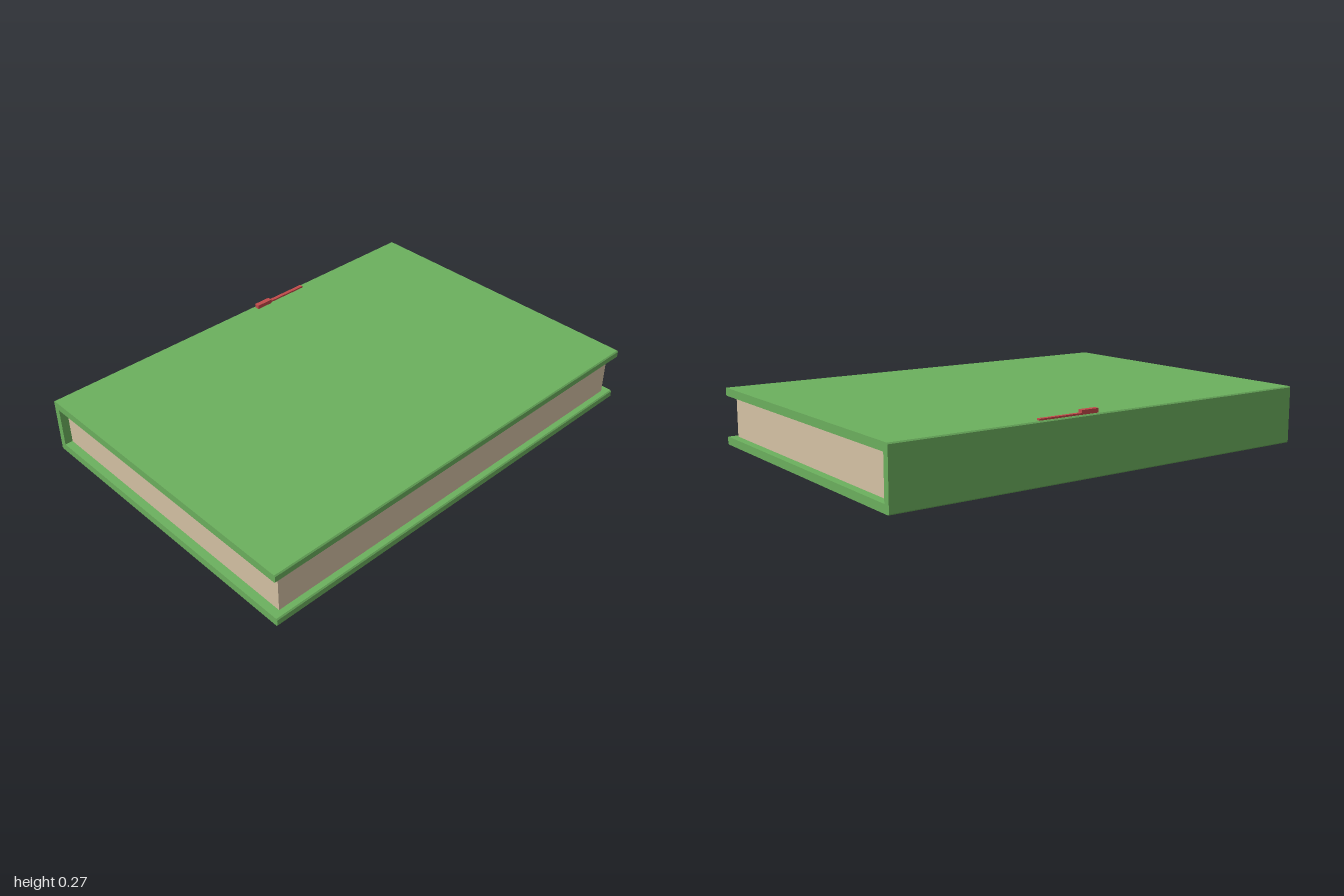
import * as THREE from 'three';

export function createModel() {
  const book = new THREE.Group();
  book.name = 'book';

  const material = (name, color) => {
    const m = new THREE.MeshStandardMaterial({ color });
    m.name = name;
    return m;
  };
  const green = material('green cover', 0x6cb05e);
  const cream = material('cream paper', 0xd6c3a5);
  const red = material('red bookmark', 0xc24a4a);

  // Adds a box given by its minimum and maximum corners
  const addBox = (name, mat, min, max) => {
    const size = max.map((v, i) => v - min[i]);
    const mesh = new THREE.Mesh(new THREE.BoxGeometry(...size), mat);
    mesh.position.set(...max.map((v, i) => (v + min[i]) / 2));
    mesh.name = name;
    book.add(mesh);
  };

  // Covers and spine: one C-shaped section with slightly softened corners
  const W = 0.7, H = 0.25, board = 0.035, spine = 0.03, c = 0.005;
  const section = new THREE.Shape([
    [-W + c, 0], [W - c, 0], [W, c], [W, board - c], [W - c, board],
    [-W + spine, board], [-W + spine, H - board],
    [W - c, H - board], [W, H - board + c], [W, H - c], [W - c, H],
    [-W + c, H], [-W, H - c], [-W, c],
  ].map(([x, y]) => new THREE.Vector2(x, y)));
  const coverGeometry = new THREE.ExtrudeGeometry(section, { depth: 2, bevelEnabled: false });
  coverGeometry.translate(0, 0, -1);
  const cover = new THREE.Mesh(coverGeometry, green);
  cover.name = 'coverAndSpine';
  book.add(cover);

  // Page block, set back from the cover edges
  addBox('pages', cream, [-W + spine, board, -0.965], [0.67, H - board, 0.965]);

  // Bookmark: thin strip with a thicker end tab
  addBox('bookmarkStrip', red, [-0.69, H - 0.002, -0.36], [-0.673, 0.257, -0.15]);
  addBox('bookmarkTab', red, [-0.69, H - 0.002, -0.16], [-0.667, 0.268, -0.08]);

  return book;
}
